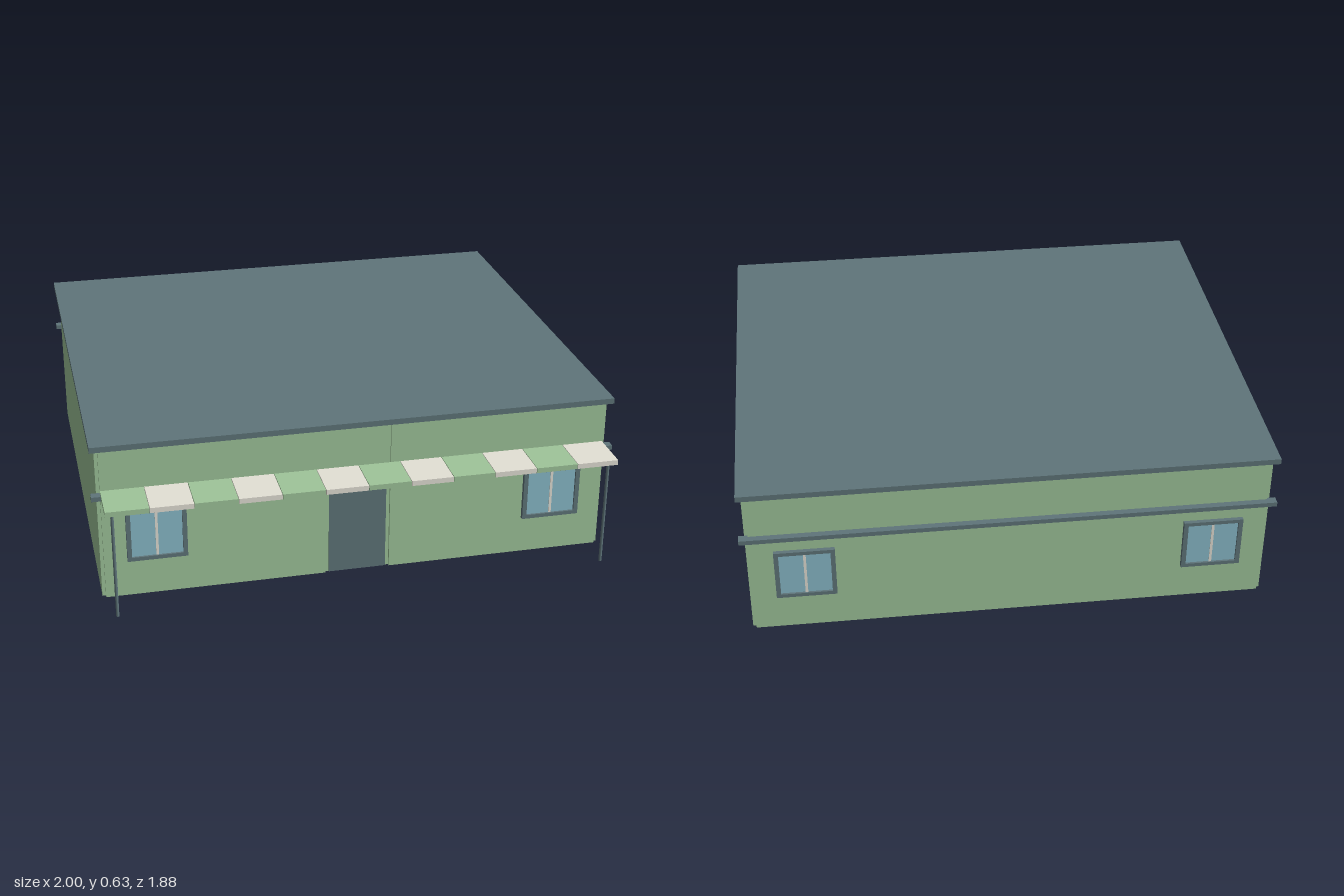
import * as THREE from 'three';

export function createModel() {
  const model = new THREE.Group();
  const mat = (name, color) => {
    const m = new THREE.MeshStandardMaterial({ color });
    m.name = name;
    return m;
  };
  const green = mat('sage green', 0x9fc59a);
  const slate = mat('slate', 0x5f757a);
  const cream = mat('cream', 0xe4e1d6);
  const glass = mat('glass blue', 0x8abccb);
  const brown = mat('floor brown', 0xa2978a);

  // Box given by its lower and upper limits on each axis
  const box = (name, m, [x0, x1], [y0, y1], [z0, z1], parent = model) => {
    const mesh = new THREE.Mesh(new THREE.BoxGeometry(x1 - x0, y1 - y0, z1 - z0), m);
    mesh.position.set((x0 + x1) / 2, (y0 + y1) / 2, (z0 + z1) / 2);
    mesh.name = name;
    parent.add(mesh);
    return mesh;
  };

  const front = 0.77, back = -0.915, wallTop = 0.612;

  // Outer walls, notched at the corners, around a recessed floor
  box('backWall', green, [-0.966, 0.966], [0, wallTop], [back, back + 0.025]);
  for (const s of [-1, 1]) {
    const span = (a, b) => (s > 0 ? [a, b] : [-b, -a]);
    box('frontWall', green, span(0.125, 0.966), [0, wallTop], [front - 0.025, front]);
    box('sideWall', green, span(0.96, 0.979), [0, wallTop], [back + 0.013, front - 0.013]);
    box('doorJamb', green, span(0.111, 0.125), [0, 0.39], [front - 0.025, front - 0.01]);
  }
  box('floor', brown, [-0.96, 0.96], [0.001, 0.02], [back + 0.025, front - 0.025]);

  // Entrance bay, set back between the front walls
  box('bayPanel', green, [-0.125, 0.125], [0.39, wallTop], [front - 0.025, front - 0.007]);
  box('door', slate, [-0.111, 0.111], [0, 0.39], [front - 0.025, front - 0.005]);

  // Roof slab and ledges
  box('roof', slate, [-0.997, 0.997], [0.61, 0.632], [-0.936, 0.785]);
  box('frontLedge', slate, [-1, 1], [0.418, 0.436], [0.76, 0.793]);
  box('backLedge', slate, [-1, 1], [0.418, 0.436], [-0.94, -0.907]);

  // Striped awning on two thin posts
  const count = 12, reach = 0.966, w = (2 * reach) / count, gap = 0.001;
  for (let i = 0; i < count; i++) {
    const x = -reach + i * w;
    box('awningSlat', i % 2 ? cream : green, [x + gap, x + w - gap], [0.428, 0.448], [front, 0.938]);
  }
  for (const x of [-0.938, 0.938]) {
    const post = new THREE.Mesh(new THREE.CylinderGeometry(0.006, 0.006, 0.416, 12), slate);
    post.position.set(x, 0.208, 0.91);
    post.name = 'awningPost';
    model.add(post);
  }

  // Window with a raised frame, centred on its own origin and facing +z
  const rect = (shape, a, b) => {
    shape.moveTo(-a, -b);
    shape.lineTo(a, -b);
    shape.lineTo(a, b);
    shape.lineTo(-a, b);
    shape.closePath();
    return shape;
  };
  const outline = rect(new THREE.Shape(), 0.113, 0.105);
  outline.holes.push(rect(new THREE.Path(), 0.096, 0.09));
  const frameGeo = new THREE.ExtrudeGeometry(outline, { depth: 0.016, bevelEnabled: false });
  const makeWindow = (x, z, turn) => {
    const group = new THREE.Group();
    group.name = 'window';
    const frame = new THREE.Mesh(frameGeo, slate);
    frame.name = 'windowFrame';
    group.add(frame);
    box('windowGlass', glass, [-0.096, 0.096], [-0.09, 0.09], [0, 0.008], group);
    box('windowMullion', cream, [-0.005, 0.005], [-0.09, 0.09], [0.004, 0.011], group);
    group.position.set(x, 0.255, z);
    group.rotation.y = turn;
    model.add(group);
  };
  for (const x of [-0.767, 0.767]) {
    makeWindow(x, front, 0);
    makeWindow(x, back, Math.PI);
  }

  return model;
}
